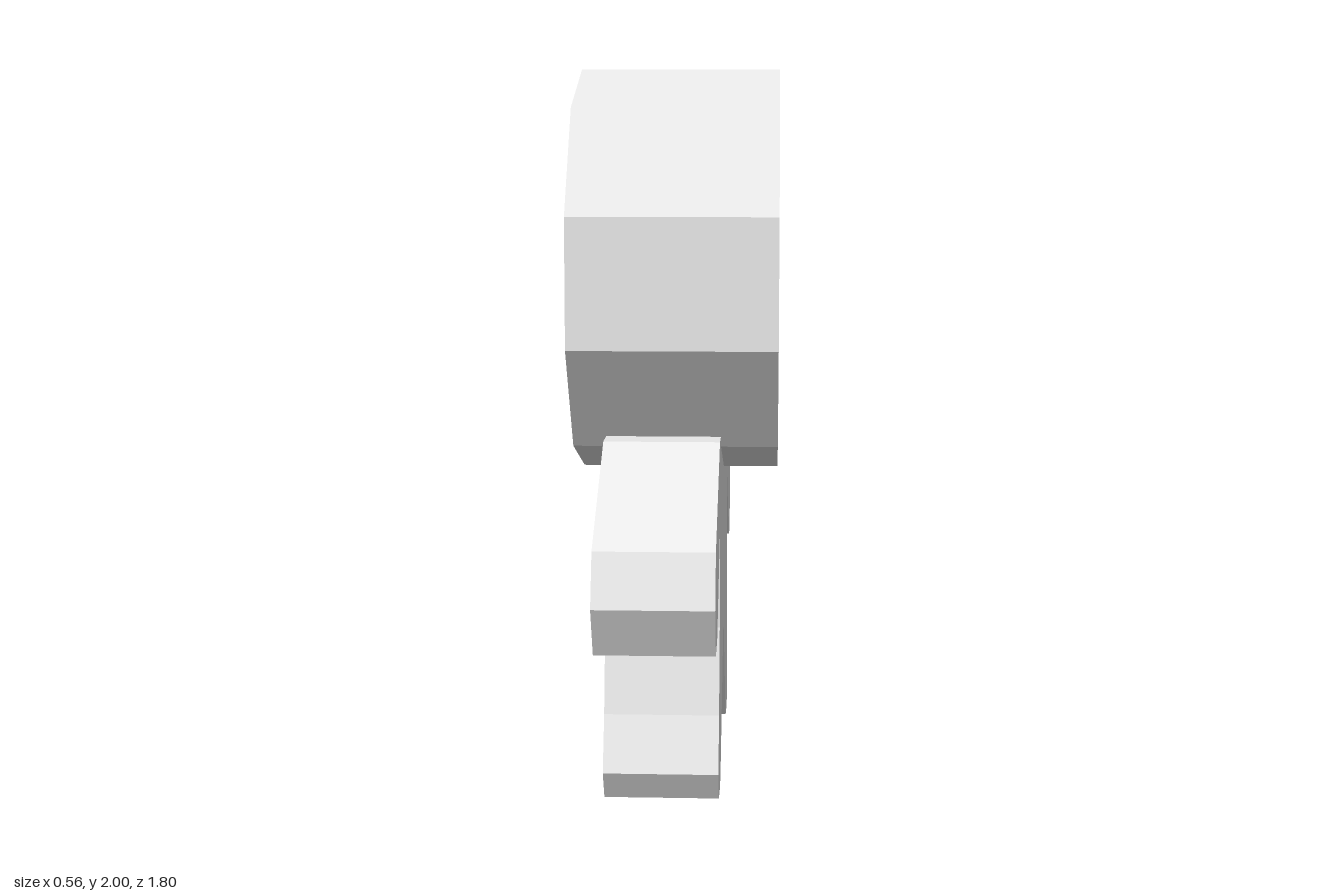
import * as THREE from 'three';

export function createModel() {
  const model = new THREE.Group();
  model.name = 'figure';
  const grey = new THREE.MeshStandardMaterial({ color: 0xe7e7e7, flatShading: true });
  grey.name = 'light grey';

  // Head: ten-sided drum lying along x, with a corner at the top
  const headGeo = new THREE.CylinderGeometry(0.571, 0.571, 0.564, 10);
  headGeo.rotateZ(Math.PI / 2).rotateX(-Math.PI / 2);
  const head = new THREE.Mesh(headGeo, grey);
  head.name = 'head';
  head.position.set(-0.002, 1.429, 0.014);
  model.add(head);

  // Body: half outline (z, y) from shoulder round the arm and leg to the crotch
  const half = [
    [0.47, 0.998], [0.85, 0.775], [0.9, 0.635], [0.83, 0.5], [0.704, 0.512],
    [0.455, 0.745], [0.44, 0.48], [0.49, 0.245], [0.547, 0.095], [0.497, 0.012],
    [0.405, 0], [0.317, 0.012],
  ];
  const mirrored = half.map(([z, y]) => [-z, y]).reverse();
  const outline = [...half, [0, 0.405], ...mirrored];
  const shape = new THREE.Shape(outline.map(([z, y]) => new THREE.Vector2(z, y)));
  const bodyGeo = new THREE.ExtrudeGeometry(shape, { depth: 0.315, bevelEnabled: false });
  bodyGeo.rotateY(-Math.PI / 2).translate(0.124, 0, 0);
  const body = new THREE.Mesh(bodyGeo, grey);
  body.name = 'body with arms and legs';
  model.add(body);

  return model;
}
